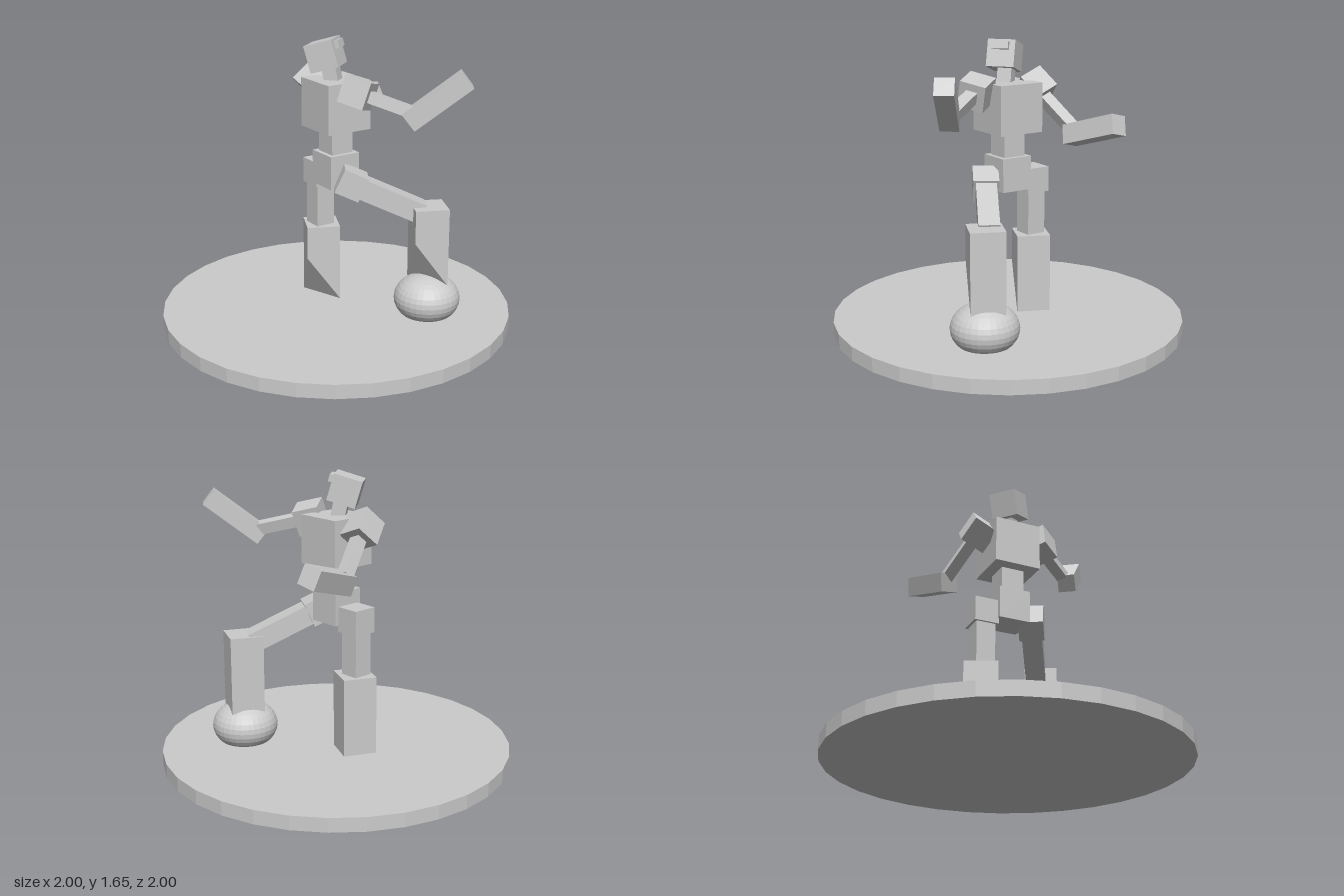
import * as THREE from 'three';

const material = new THREE.MeshStandardMaterial({ color: 0xcccccc, flatShading: true });

export function createModel() {
  const model = new THREE.Group();
  model.name = 'blockFigure';

  function add(name, geometry, position, parent = model) {
    const mesh = new THREE.Mesh(geometry, material);
    mesh.name = name;
    mesh.position.set(...position);
    parent.add(mesh);
    return mesh;
  }

  const block = (name, size, position, parent) =>
    add(name, new THREE.BoxGeometry(...size), position, parent);

  // Square beam running from one point to another, rolled to match an up hint
  function beam(name, from, to, width, up = [0, 1, 0]) {
    const a = new THREE.Vector3(...from), b = new THREE.Vector3(...to);
    const along = b.clone().sub(a);
    const length = along.length();
    along.normalize();
    const side = new THREE.Vector3(...up).cross(along).normalize();
    const top = along.clone().cross(side);
    const mesh = block(name, [width, width, length], a.add(b).multiplyScalar(0.5).toArray());
    mesh.quaternion.setFromRotationMatrix(new THREE.Matrix4().makeBasis(side, top, along));
  }

  // Joint cube centred on a point, with a thinner limb leaving it
  function jointAndLimb(jointName, limbName, center, end, jointSize, limbWidth, up) {
    const c = new THREE.Vector3(...center), e = new THREE.Vector3(...end);
    const half = e.clone().sub(c).setLength(jointSize / 2);
    beam(jointName, c.clone().sub(half).toArray(), c.clone().add(half).toArray(), jointSize, up);
    beam(limbName, center, end, limbWidth, up);
  }

  // Flared shin: a box with one lower corner pulled up
  function shin(name, x, bottom, z) {
    const geometry = new THREE.BoxGeometry(0.19, 0.45, 0.19);
    const p = geometry.attributes.position;
    for (let i = 0; i < p.count; i++) {
      if (p.getX(i) < 0 && p.getY(i) < 0 && p.getZ(i) > 0) p.setY(i, p.getY(i) + 0.26);
    }
    geometry.computeVertexNormals();
    add(name, geometry, [x, bottom + 0.225, z]).rotation.y = -0.433;
  }

  // Base and ball
  add('base', new THREE.CylinderGeometry(1, 1, 0.08, 32), [0, 0.04, 0]);
  add('ball', new THREE.SphereGeometry(0.188, 32, 16), [0.36, 0.17, 0.393]).scale.y = 0.75;

  // Trunk
  block('pelvis', [0.187, 0.19, 0.187], [-0.002, 0.905, 0]);
  block('waist', [0.135, 0.15, 0.135], [-0.002, 1.07, 0]);
  block('chest', [0.275, 0.275, 0.275], [-0.002, 1.275, 0]);

  // Neck and head, looking up and to the side
  block('neck', [0.08, 0.12, 0.08], [-0.025, 1.45, -0.005]).rotation.set(-0.2, 0.68, 0, 'YXZ');
  const head = new THREE.Group();
  head.name = 'head';
  head.position.set(-0.058, 1.55, -0.018);
  head.rotation.set(-0.285, 0.68, 0, 'YXZ');
  model.add(head);
  block('skull', [0.158, 0.152, 0.163], [0, 0, 0], head);
  block('visor', [0.092, 0.042, 0.035], [0, 0.04, 0.088], head);

  // Raised arm on the +z side
  jointAndLimb('frontShoulder', 'frontUpperArm', [0.004, 1.373, 0.208], [0.175, 1.295, 0.465],
    0.15, 0.065, [0.29, 0.95, 0.03]);
  beam('frontForearm', [0.148, 1.249, 0.466], [0.392, 1.481, 0.644], 0.103);

  // Lowered arm on the -z side
  jointAndLimb('rearShoulder', 'rearUpperArm', [-0.01, 1.36, -0.194], [0.21, 1.15, -0.293],
    0.15, 0.065, [0.72, 0.67, 0.19]);
  beam('rearForearm', [0.19, 1.11, -0.285], [0.52, 1.21, -0.365], 0.11, [0, 0.97, -0.24]);

  // Bent leg resting on the ball
  jointAndLimb('frontHip', 'frontThigh', [0, 0.855, 0.15], [0.34, 0.677, 0.35], 0.143, 0.115);
  shin('frontShin', 0.364, 0.27, 0.388);

  // Straight standing leg
  block('rearHip', [0.143, 0.143, 0.143], [-0.002, 0.847, -0.16]);
  block('rearThigh', [0.113, 0.34, 0.113], [-0.003, 0.65, -0.16]);
  shin('rearShin', 0.003, 0.08, -0.158);

  return model;
}
